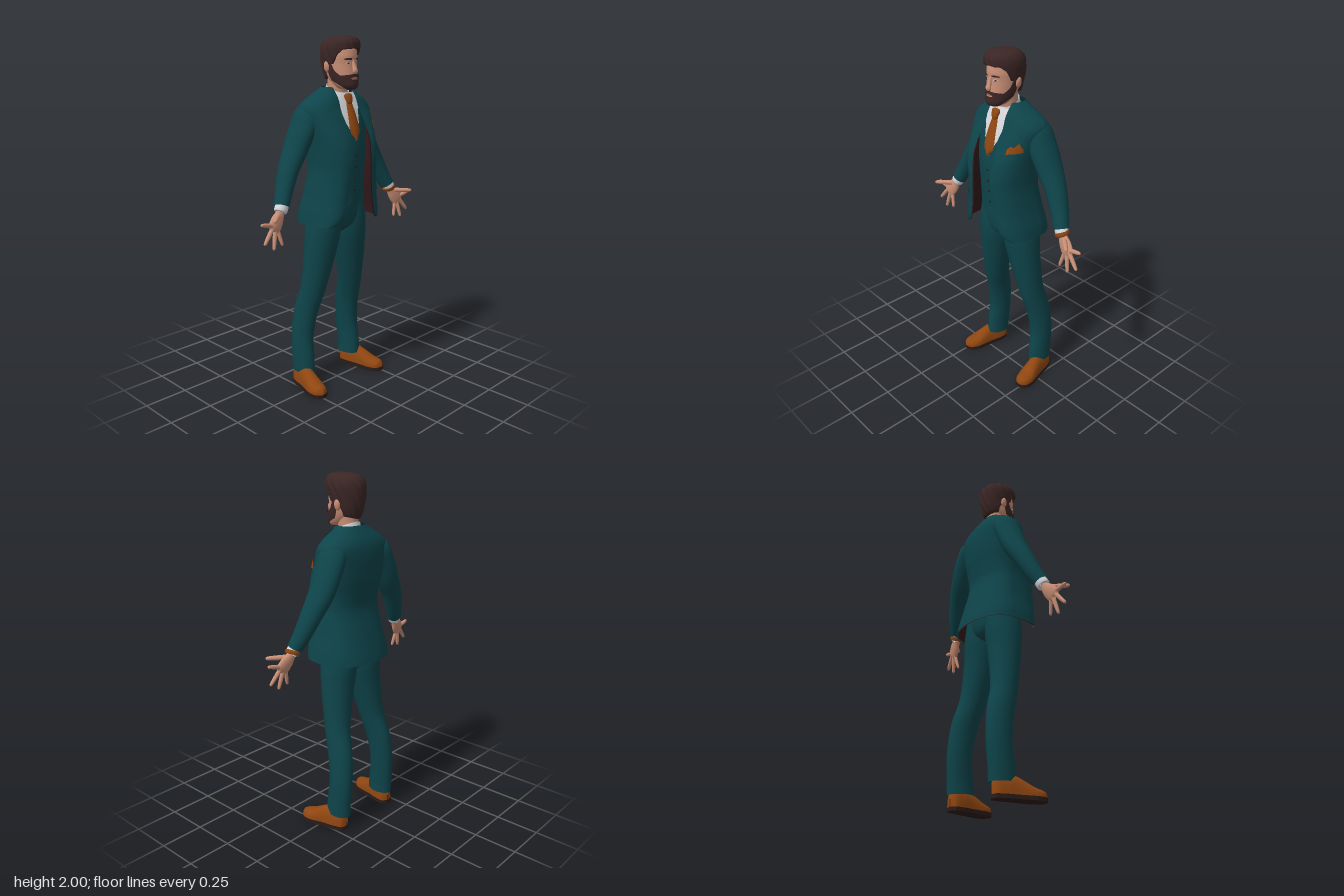
import * as THREE from 'three';
import { mergeVertices } from 'three/addons/utils/BufferGeometryUtils.js';

const paint = (name, color) => {
  const m = new THREE.MeshStandardMaterial({ color, side: THREE.DoubleSide });
  m.name = name;
  return m;
};

// Smooth interpolation through a table of rows [key, ...values]
function at(table, key) {
  const n = table.length;
  let i = 0;
  while (i < n - 2 && key > table[i + 1][0]) i++;
  const a = table[i], b = table[i + 1], p = table[Math.max(i - 1, 0)], q = table[Math.min(i + 2, n - 1)];
  const h = b[0] - a[0], t = THREE.MathUtils.clamp((key - a[0]) / h, 0, 1);
  return a.slice(1).map((_, c) => {
    const k = c + 1, m0 = ((b[k] - p[k]) / (b[0] - p[0])) * h, m1 = ((q[k] - a[k]) / (q[0] - a[0])) * h;
    const t2 = t * t, t3 = t2 * t;
    return (2 * t3 - 3 * t2 + 1) * a[k] + (t3 - 2 * t2 + t) * m0 + (3 * t2 - 2 * t3) * b[k] + (t3 - t2) * m1;
  });
}
const linear = (table, key) => {
  let i = 0;
  while (i < table.length - 2 && key > table[i + 1][0]) i++;
  return THREE.MathUtils.mapLinear(THREE.MathUtils.clamp(key, table[0][0], table.at(-1)[0]),
    table[i][0], table[i + 1][0], table[i][1], table[i + 1][1]);
};

// Surface sampled from fn(u, v) with smooth, welded normals
function grid(name, mat, rows, cols, fn) {
  const pos = [], idx = [];
  for (let i = 0; i <= rows; i++) for (let j = 0; j <= cols; j++) pos.push(...fn(i / rows, j / cols));
  for (let i = 0; i < rows; i++) for (let j = 0; j < cols; j++) {
    const a = i * (cols + 1) + j, b = a + cols + 1;
    idx.push(a, b, a + 1, b, b + 1, a + 1);
  }
  let g = new THREE.BufferGeometry();
  g.setAttribute('position', new THREE.Float32BufferAttribute(pos, 3));
  g.setIndex(idx);
  g = mergeVertices(g, 1e-5);
  g.computeVertexNormals();
  const mesh = new THREE.Mesh(g, mat);
  mesh.name = name;
  return mesh;
}

// Elliptical tube through stations [x, y, z, radius across, radius deep]; s mirrors x
function sweep(name, mat, stations, s = 1, rows = 24, cols = 24) {
  const T = stations.map((p, i) => [i, ...p]), n = T.length - 1;
  return grid(name, mat, rows, cols, (u, v) => {
    const k = u * n, p = at(T, k), a = at(T, Math.max(k - 0.05, 0)), b = at(T, Math.min(k + 0.05, n));
    const dir = new THREE.Vector3(b[0] - a[0], b[1] - a[1], b[2] - a[2]).normalize();
    const side = new THREE.Vector3(dir.y, -dir.x, 0).normalize(), deep = dir.clone().cross(side);
    const t = v * Math.PI * 2;
    const o = side.multiplyScalar(p[3] * Math.cos(t)).addScaledVector(deep, p[4] * Math.sin(t));
    return [s * (p[0] + o.x), p[1] + o.y, p[2] + o.z];
  });
}

// Jacket rows: height, half width, side z, front z, back z, half opening
const JACKET = [
  [0.988, 0.23, -0.02, 0.14, -0.19, 0.175], [1.01, 0.229, -0.02, 0.163, -0.186, 0.14],
  [1.05, 0.225, -0.02, 0.175, -0.176, 0.115], [1.15, 0.205, -0.01, 0.18, -0.15, 0.095],
  [1.28, 0.19, 0, 0.188, -0.118, 0.08], [1.36, 0.194, 0, 0.188, -0.125, 0.077],
  [1.45, 0.205, -0.02, 0.17, -0.138, 0.085], [1.55, 0.224, -0.03, 0.125, -0.142, 0.08],
  [1.62, 0.232, -0.04, 0.09, -0.135, 0.075], [1.66, 0.19, -0.04, 0.075, -0.12, 0.072],
  [1.69, 0.14, -0.035, 0.055, -0.1, 0.07], [1.728, 0.085, -0.025, 0.02, -0.075, 0.065]];
const P = 0.87;
function jacketPoint(y, v, inset) {
  const [w0, zc, zf, zb, e] = at(JACKET, y), w = w0 - inset;
  const phi = Math.PI * (1 - Math.abs(2 * v - 1)), sn = Math.sin(phi) ** P, cs = Math.abs(Math.cos(phi)) ** P;
  const front = phi < Math.PI / 2;
  const x = front ? e + (w - e) * sn : w * sn;
  return [(v < 0.5 ? 1 : -1) * x, y, front ? zc + (zf - inset - zc) * cs : zc + (zb + inset - zc) * cs];
}
function jacketZ(x, y) {
  const [w, zc, zf, , e] = at(JACKET, y);
  const sn = THREE.MathUtils.clamp((Math.abs(x) - e) / (w - e), 0, 0.999) ** (1 / P);
  return zc + (zf - zc) * Math.sqrt(1 - sn * sn) ** P;
}

// Shirt rows: height, half width, front z, back z
const TORSO = [[1.14, 0.16, 0.122, -0.09], [1.25, 0.16, 0.13, -0.09], [1.38, 0.165, 0.138, -0.1],
  [1.48, 0.17, 0.128, -0.1], [1.57, 0.17, 0.105, -0.1], [1.64, 0.13, 0.08, -0.09], [1.7, 0.065, 0.058, -0.06]];
const torsoZ = (x, y) => {
  const [w, zf] = at(TORSO, y);
  return zf * Math.sqrt(Math.max(0.05, 1 - (x / w) ** 2));
};

// Head and hair rows: height, half width, front z, back z
const HEAD = [[1.712, 0.0, 0.085, 0.084], [1.718, 0.035, 0.118, 0.03], [1.735, 0.055, 0.13, 0], [1.765, 0.069, 0.128, -0.035],
  [1.8, 0.077, 0.125, -0.06], [1.85, 0.082, 0.121, -0.075], [1.9, 0.083, 0.122, -0.08],
  [1.95, 0.07, 0.1, -0.07], [1.985, 0, 0.02, 0.019]];
const HAIR = [[1.755, 0.064, 0.1, -0.06], [1.8, 0.08, 0.125, -0.079], [1.85, 0.088, 0.127, -0.09],
  [1.9, 0.097, 0.13, -0.093], [1.94, 0.098, 0.137, -0.089], [1.972, 0.086, 0.133, -0.07],
  [1.992, 0.058, 0.11, -0.03], [2.0, 0, 0.051, 0.05]];
function ringPoint(table, deg, y, off = 0) {
  const [w, zf, zb] = at(table, y), t = THREE.MathUtils.degToRad(deg);
  return [(w + off) * Math.sin(t), y, (zf + zb) / 2 + ((zf - zb) / 2 + off) * Math.cos(t)];
}
const lerp = THREE.MathUtils.lerp;

export function createModel() {
  const model = new THREE.Group();
  model.name = 'suitedMan';
  const cloth = paint('teal cloth', 0x0e444a), lining = paint('dark red lining', 0x32191b);
  const shirt = paint('white shirt', 0xd6d6da), tan = paint('tan leather and silk', 0x8f4611);
  const skin = paint('skin', 0xc98f76), hair = paint('dark brown hair', 0x3b2625);
  const sole = paint('dark sole', 0x2a1c19), lip = paint('lips', 0xa5685a);
  const add = (...m) => model.add(...m);
  // thin patch on the face between two angles and two heights
  const facePatch = (name, mat, d0, d1, lo, hi, off, cols = 10, rows = 4) => add(grid(name, mat, rows, cols, (u, v) => {
    const d = lerp(d0, d1, v);
    return ringPoint(HEAD, d, lerp(lo(d), hi(d), u), off);
  }));

  // Jacket shell and its lining
  add(grid('jacket', cloth, 44, 64, (u, v) => jacketPoint(lerp(0.988, 1.728, u), v, 0)));
  add(grid('jacketLining', lining, 24, 64, (u, v) => jacketPoint(lerp(0.99, 1.5, u), v, 0.008)));

  // Shirt body, vest front, pelvis
  add(grid('shirtBody', shirt, 20, 32, (u, v) => {
    const y = lerp(1.14, 1.7, u), [w, zf, zb] = at(TORSO, y), t = v * Math.PI * 2, c = Math.cos(t);
    return [w * Math.sin(t), y, c > 0 ? zf * c : -zb * c];
  }));
  add(grid('vest', cloth, 20, 32, (u, v) => {
    const x = lerp(-0.13, 0.13, v), ax = Math.abs(x);
    const lo = linear([[0, 1.125], [0.035, 1.085], [0.13, 1.13]], ax);
    const hi = linear([[0, 1.445], [0.05, 1.54], [0.075, 1.64], [0.13, 1.6]], ax), y = lerp(lo, hi, u);
    return [x, y, torsoZ(x, y) + 0.009];
  }));
  add(sweep('trouserSeat', cloth, [[0, 0.92, -0.012, 0.03, 0.05], [0, 0.96, -0.012, 0.12, 0.095],
    [0, 1.03, -0.01, 0.185, 0.11], [0, 1.15, -0.005, 0.165, 0.11]]));
  for (const y of [1.17, 1.235, 1.3, 1.365]) {
    const b = new THREE.Mesh(new THREE.CylinderGeometry(0.006, 0.006, 0.005, 12).rotateX(Math.PI / 2), sole);
    b.position.set(0, y, torsoZ(0, y) + 0.011);
    b.name = 'vestButton';
    add(b);
  }

  // Tie blade and knot
  const tieWidth = [[1.447, 0.001], [1.485, 0.034], [1.52, 0.037], [1.6, 0.028], [1.66, 0.019]];
  add(grid('tie', tan, 18, 8, (u, v) => {
    const y = lerp(1.447, 1.66, u), k = 2 * v - 1;
    return [k * linear(tieWidth, y), y, torsoZ(0, y) + 0.012 + 0.01 * (1 - k * k)];
  }));
  add(sweep('tieKnot', tan, [[0, 1.635, 0.09, 0.012, 0.008], [0, 1.65, 0.09, 0.021, 0.017],
    [0, 1.682, 0.082, 0.028, 0.016], [0, 1.692, 0.076, 0.015, 0.005]], 1, 12, 16));

  // Neck and shirt collar band
  add(sweep('neck', skin, [[0, 1.64, -0.005, 0.058, 0.055], [0, 1.72, 0.005, 0.055, 0.056], [0, 1.8, 0.012, 0.06, 0.06]]));
  add(grid('shirtCollar', shirt, 6, 32, (u, v) => {
    const t = v * Math.PI * 2, r = lerp(0.074, 0.062, u), z = r * Math.cos(t);
    return [r * Math.sin(t), lerp(1.655, 1.722, u) - z * 0.4, z + 0.004];
  }));

  for (const s of [1, -1]) {
    // Collar points, lapels and pocket flaps laid over the front
    add(grid('collarPoint', shirt, 6, 4, (u, v) => {
      const y = lerp(1.6 + 0.035 * Math.abs(v - 0.6), 1.7, u), x = lerp(lerp(0.03, 0.008, u), lerp(0.062, 0.066, u), v);
      return [s * x, y, torsoZ(x * 0.7, y) + 0.016];
    }));
    const lapelEdge = [[1.27, 0.082], [1.4, 0.125], [1.6, 0.165], [1.612, 0.13], [1.63, 0.14], [1.7, 0.105], [1.726, 0.085]];
    add(grid('lapel', cloth, 40, 6, (u, v) => {
      const y = lerp(1.27, 1.726, u), e = at(JACKET, y)[4] - 0.004;
      const x = lerp(e, Math.max(e, linear(lapelEdge, y)), v);
      return [s * x, y, jacketZ(x, y) + 0.007];
    }));
    add(grid('pocketFlap', cloth, 3, 8, (u, v) => {
      const x = lerp(0.13, 0.19, v), y = lerp(1.16, 1.195, u) - (x - 0.13) * 0.15;
      return [s * x, y, jacketZ(x, y) + 0.006];
    }));

    // Sleeve, shirt cuff
    add(sweep('sleeve', cloth, [[0.14, 1.63, -0.04, 0.02, 0.03], [0.172, 1.594, -0.042, 0.062, 0.08],
      [0.222, 1.5, -0.046, 0.062, 0.086], [0.272, 1.4, -0.047, 0.06, 0.076], [0.333, 1.3, -0.035, 0.053, 0.062],
      [0.383, 1.2, -0.015, 0.046, 0.051], [0.421, 1.125, 0.008, 0.041, 0.041]], s, 40, 28));
    add(sweep('shirtCuff', shirt, [[0.41, 1.145, 0.004, 0.036, 0.036], [0.434, 1.103, 0.014, 0.036, 0.034],
      [0.435, 1.101, 0.014, 0.02, 0.02]], s, 8, 20));

    // Hand: palm, then five digits as [base, tip, radius]
    add(sweep('palm', skin, [[0.42, 1.125, 0.01, 0.025, 0.022], [0.438, 1.095, 0.015, 0.026, 0.02],
      [0.465, 1.06, 0.022, 0.04, 0.021], [0.492, 1.024, 0.03, 0.042, 0.016], [0.503, 1.01, 0.033, 0.03, 0.006]], s, 16, 20));
    const digits = [
      ['thumb', [0.465, 1.085, 0.03], [0.545, 1.082, 0.1], 0.013], ['indexFinger', [0.51, 1.043, 0.03], [0.585, 1.06, 0.037], 0.0115],
      ['middleFinger', [0.503, 1.03, 0.031], [0.57, 0.95, 0.042], 0.0115], ['ringFinger', [0.487, 1.013, 0.031], [0.51, 0.912, 0.045], 0.011],
      ['littleFinger', [0.468, 1.005, 0.03], [0.448, 0.925, 0.042], 0.0098]];
    for (const [name, a, b, r] of digits) {
      const stop = (t, k) => [...a.map((c, i) => lerp(c, b[i], t)), r * k, r * k];
      add(sweep(name, skin, [stop(0, 1.1), stop(0.5, 1), stop(0.85, 0.82), stop(0.96, 0.55), stop(1, 0)], s, 14, 12));
    }

    // Trouser leg
    add(sweep('trouserLeg', cloth, [[0.19, 0.085, -0.088, 0.054, 0.077], [0.19, 0.16, -0.092, 0.054, 0.076],
      [0.184, 0.3, -0.102, 0.057, 0.073], [0.171, 0.45, -0.085, 0.059, 0.077], [0.15, 0.6, -0.045, 0.069, 0.076],
      [0.121, 0.8, -0.02, 0.09, 0.091], [0.102, 0.95, -0.012, 0.1, 0.106], [0.092, 1.1, -0.01, 0.085, 0.1]], s, 40, 28));

    // Shoe: upper from rows of length, half width, height, plus a flat sole
    const shoe = new THREE.Group();
    shoe.name = 'shoe';
    shoe.position.x = s * 0.222;
    shoe.rotation.y = s * 0.21;
    const last = [[-0.155, 0.004, 0.05], [-0.143, 0.032, 0.095], [-0.09, 0.043, 0.105], [-0.03, 0.043, 0.102],
      [0.02, 0.047, 0.08], [0.07, 0.051, 0.054], [0.115, 0.041, 0.042], [0.135, 0.022, 0.032], [0.142, 0.002, 0.01]];
    shoe.add(grid('shoeUpper', tan, 28, 18, (u, v) => {
      const z = lerp(-0.155, 0.142, u), [w, h] = at(last, z), t = v * Math.PI;
      return [w * Math.cos(t), 0.018 + h * Math.sin(t) ** 0.75, z];
    }));
    const edge = last.map(([z, w]) => new THREE.Vector2(w + 0.004, z));
    const outline = new THREE.Shape([...edge, ...edge.map(p => new THREE.Vector2(-p.x, p.y)).reverse()]);
    const base = new THREE.ExtrudeGeometry(outline, { depth: 0.021, bevelEnabled: false }).rotateX(Math.PI / 2).translate(0, 0.021, 0);
    const soleMesh = new THREE.Mesh(base, sole);
    soleMesh.name = 'shoeSole';
    shoe.add(soleMesh);
    add(shoe);

    // Ear, eye and eyebrow
    const ear = new THREE.Mesh(new THREE.SphereGeometry(1, 16, 12), skin);
    ear.scale.set(0.012, 0.03, 0.019);
    ear.position.set(s * 0.086, 1.835, 0.008);
    ear.rotation.z = -s * 0.15;
    ear.name = 'ear';
    add(ear);
    facePatch('eye', shirt, s * 14, s * 31, d => 1.855 - 0.004 * Math.cos((Math.abs(d) - 22.5) / 8.5 * 1.4),
      d => 1.855 + 0.005 * Math.cos((Math.abs(d) - 22.5) / 8.5 * 1.4), 0.002);
    facePatch('iris', hair, s * 19, s * 26, () => 1.851, () => 1.859, 0.003);
    facePatch('eyebrow', hair, s * 10, s * 37, () => 1.872, d => 1.882 - Math.abs(Math.abs(d) - 20) * 0.0002, 0.004);
  }

  // Pocket square with a pointed top, and a bracelet on the left wrist
  add(grid('pocketSquare', tan, 4, 12, (u, v) => {
    const x = lerp(0.14, 0.2, v), hi = linear([[0, 1.525], [0.3, 1.542], [0.45, 1.53], [0.75, 1.558], [1, 1.525]], v);
    const y = lerp(1.498 + 0.008 * v, hi, u);
    return [x, y, jacketZ(x, y) + 0.009];
  }));
  add(sweep('bracelet', tan, [[0.426, 1.117, 0.012, 0.036, 0.034], [0.428, 1.113, 0.012, 0.041, 0.039],
    [0.435, 1.101, 0.014, 0.04, 0.038], [0.437, 1.097, 0.014, 0.034, 0.032]], 1, 8, 20));

  // Head, nose, lips
  add(grid('head', skin, 36, 40, (u, v) => ringPoint(HEAD, v * 360, lerp(1.712, 1.985, u))));
  add(sweep('nose', skin, [[0, 1.875, 0.116, 0.007, 0.006], [0, 1.84, 0.126, 0.01, 0.01], [0, 1.815, 0.135, 0.016, 0.013],
    [0, 1.806, 0.131, 0.014, 0.01], [0, 1.802, 0.125, 0.002, 0.002]], 1, 16, 16));
  facePatch('lips', lip, -17, 17, d => 1.771 + Math.abs(d) * 0.0002, d => 1.784 - Math.abs(d) * 0.0003, 0.005);

  // Beard along the jaw and moustache
  facePatch('beard', hair, -98, 98, d => linear([[0, 1.7125], [50, 1.7135], [98, 1.765]], Math.abs(d)),
    d => linear([[0, 1.769], [16, 1.77], [26, 1.795], [55, 1.79], [72, 1.815], [80, 1.86], [98, 1.86]], Math.abs(d)), 0.007, 56, 14);
  facePatch('moustache', hair, -30, 30, d => 1.785 - Math.abs(d) * 0.0004, d => 1.8 - Math.abs(d) * 0.0002, 0.009, 16);

  // Hair: low edge follows the hairline and tucks into the head
  const hairline = [[0, 1.93], [40, 1.925], [58, 1.9], [72, 1.85], [96, 1.85], [108, 1.82], [125, 1.775], [180, 1.76]];
  add(grid('hair', hair, 30, 96, (u, v) => {
    const d = v * 360 - 180, low = linear(hairline, Math.abs(d));
    if (u === 0) return ringPoint(HEAD, d, low, -0.003);
    const y = lerp(low, 2, ((u - 1 / 30) * 30 / 29) ** 0.85), fade = Math.min(1, (2 - y) * 30);
    const a = THREE.MathUtils.degToRad(d);
    return ringPoint(HAIR, d, y, 0.0025 * fade * Math.sin(14 * a + 60 * y));
  }));
  return model;
}
